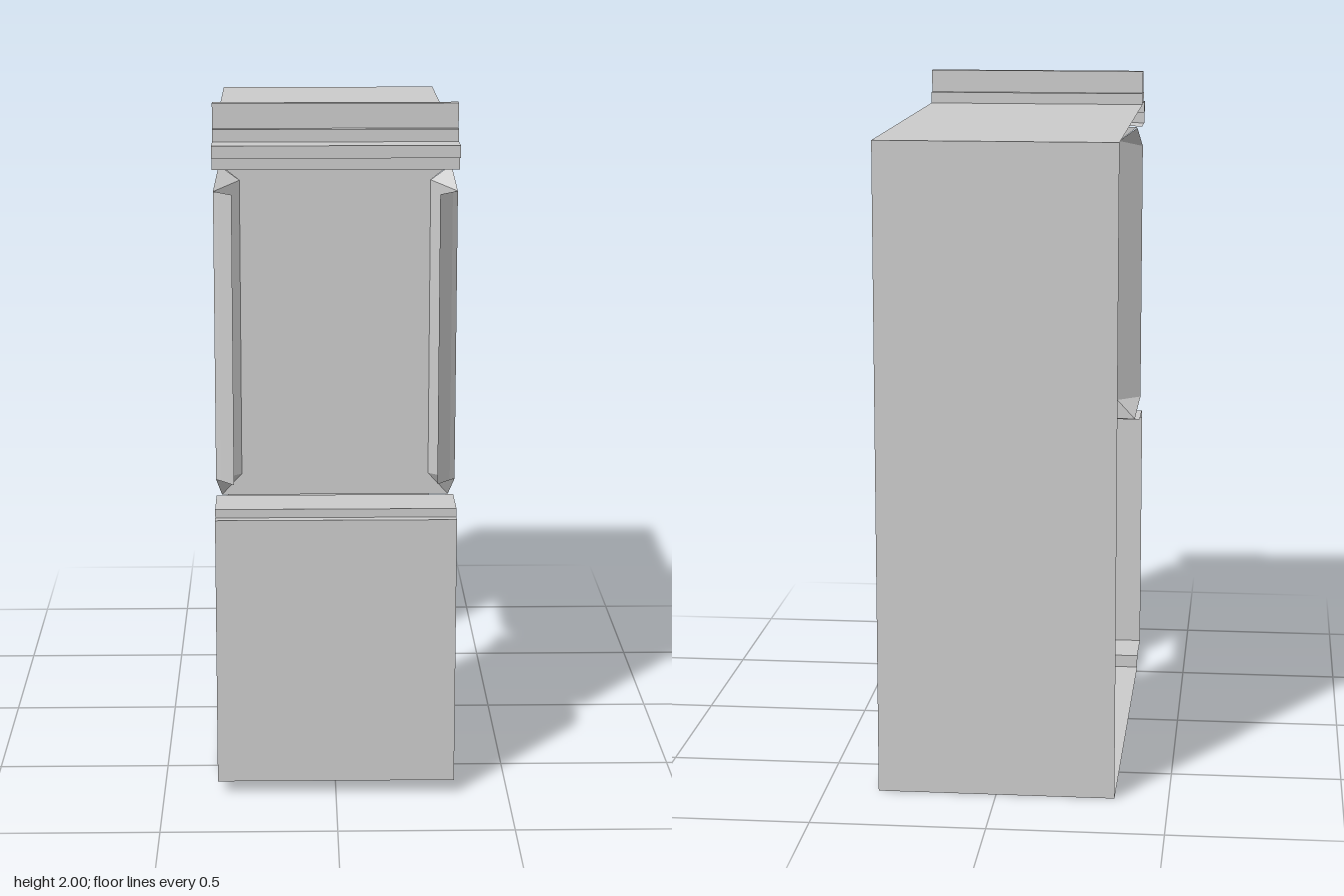
import * as THREE from 'three';

const material = new THREE.MeshStandardMaterial({ color: 0xcccccc, side: THREE.DoubleSide, flatShading: true });
const W = 0.344; // half width of the shell
const GLASS_Z = 0.547; // depth of the recessed window panel

// Flat polygons (convex, corners counter-clockwise) joined into one mesh
function polygons(name, faces) {
  const pos = [];
  for (const f of faces) {
    for (let i = 1; i < f.length - 1; i++) pos.push(...f[0], ...f[i], ...f[i + 1]);
  }
  const geo = new THREE.BufferGeometry();
  geo.setAttribute('position', new THREE.Float32BufferAttribute(pos, 3));
  geo.computeVertexNormals();
  const mesh = new THREE.Mesh(geo, material);
  mesh.name = name;
  return mesh;
}

// Folded sheet: a [z, y] path swept across the full width
function sheet(name, path) {
  const faces = [];
  for (let i = 0; i < path.length - 1; i++) {
    const [z0, y0] = path[i], [z1, y1] = path[i + 1];
    faces.push([[-W, y0, z0], [W, y0, z0], [W, y1, z1], [-W, y1, z1]]);
  }
  return polygons(name, faces);
}

// Bevelled upright beside the window; side is +1 or -1
function windowUpright(name, side) {
  const low = 0.92, high = 1.755;
  const section = [[0.27, GLASS_Z], [0.343, 0.612], [0.328, 0.627], [0.29, 0.673]];
  const at = ([x, z], y) => [side * x, y, z];
  const top = (i) => at(section[i], i === 0 ? 1.777 : high);
  const bottom = (i) => at(section[i], low);
  const faces = [];
  for (let i = 0; i < section.length - 1; i++) {
    faces.push([bottom(i + 1), bottom(i), top(i), top(i + 1)]);
  }
  // triangular flares into the window corners
  faces.push([top(1), top(0), at([0.328, GLASS_Z], 1.82)]);
  faces.push([bottom(0), bottom(1), at([0.328, GLASS_Z], 0.857)]);
  if (side < 0) faces.forEach((f) => f.reverse());
  return polygons(name, faces);
}

export function createModel() {
  const model = new THREE.Group();
  model.name = 'cabinetShell';

  // Lower front with the stepped window sill
  model.add(sheet('lowerFrontPanel', [[0.725, 0.04], [0.725, 0.83]]));
  model.add(sheet('windowSill', [[0.725, 0.83], [0.697, 0.83], [0.697, 0.855], [GLASS_Z, 0.855]]));

  // Recessed panel, narrowed between the uprights
  const half = [[0.328, 0.857], [0.27, 0.92], [0.27, 1.777], [0.328, 1.823]];
  const outline = [...half, ...half.map(([x, y]) => [-x, y]).reverse()];
  const panel = new THREE.Mesh(
    new THREE.ShapeGeometry(new THREE.Shape(outline.map(([x, y]) => new THREE.Vector2(x, y)))), material);
  panel.name = 'windowPanel';
  panel.position.z = GLASS_Z;
  model.add(panel);
  model.add(windowUpright('leftWindowUpright', 1), windowUpright('rightWindowUpright', -1));

  // Header: underside, ledge and raised fin
  model.add(sheet('header', [
    [GLASS_Z, 1.825], [0.675, 1.825], [0.675, 1.86], [0.699, 1.86], [0.699, 1.895], [0.62, 1.895],
    [0.62, 1.93], [0.597, 1.93], [0.597, 2], [0.57, 2], [0.57, 1.93], [GLASS_Z, 1.93], [GLASS_Z, 1.895],
  ]));
  const lip = new THREE.Mesh(new THREE.BoxGeometry(2 * W, 0.035, 0.012), material);
  lip.name = 'headerLip';
  lip.position.set(0, 1.8775, 0.693);
  model.add(lip);

  // Top, back and stepped floor
  model.add(sheet('topPanel', [[GLASS_Z, 1.895], [-0.725, 1.895]]));
  model.add(sheet('backPanel', [[-0.725, 1.895], [-0.725, 0]]));
  model.add(sheet('floor', [[-0.725, 0], [GLASS_Z, 0], [GLASS_Z, 0.04], [0.725, 0.04]]));

  return model;
}
